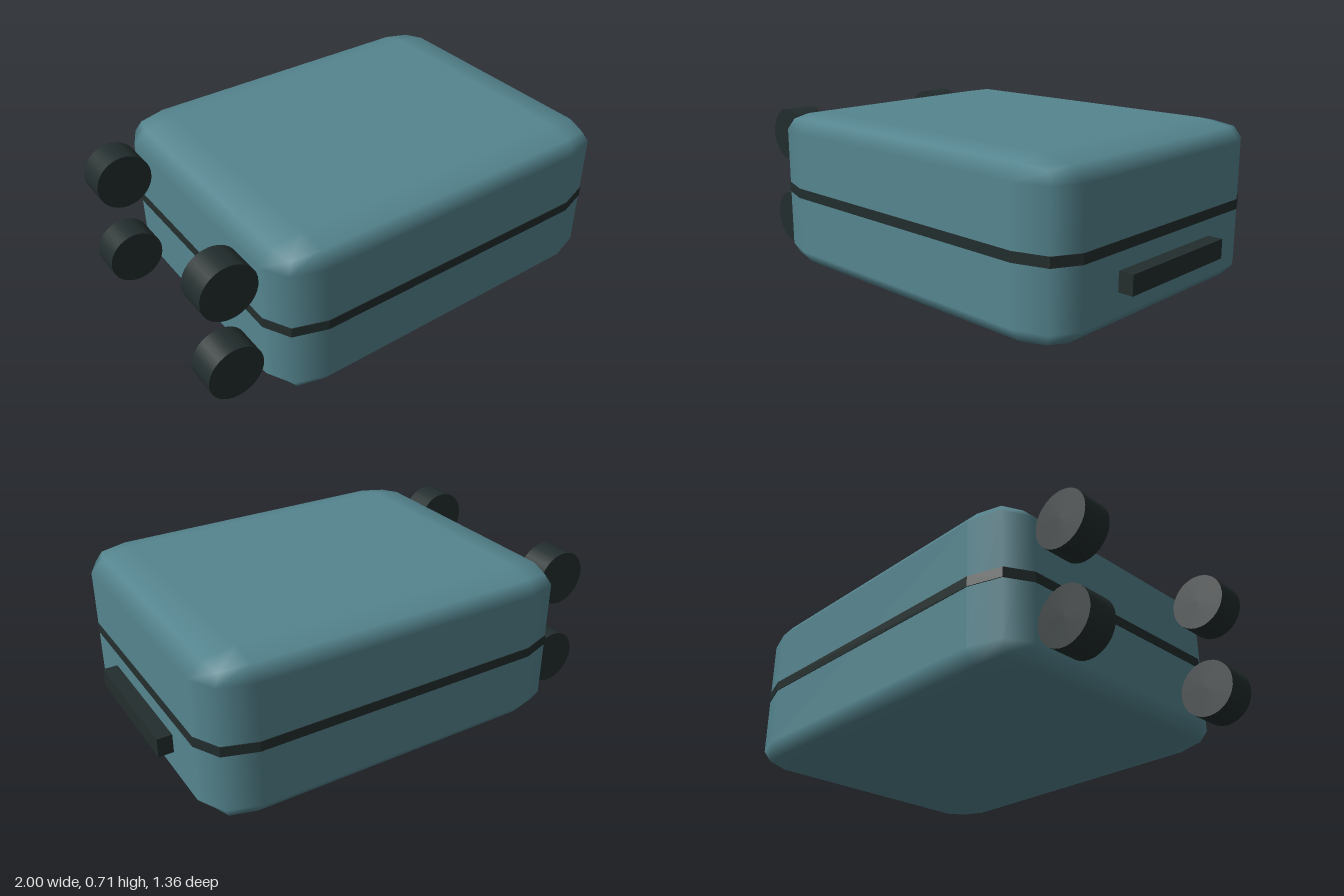
import * as THREE from 'three';
import { RoundedBoxGeometry } from 'three/addons/geometries/RoundedBoxGeometry.js';

const W = 1.69, H = 0.708, D = 1.35; // shell size
const CX = 0.09;                     // shell centre in x
const R = 0.118;                     // corner radius as a fraction of each side

// Plan outline of the shell: a rectangle with two-step rounded corners
function planShape(w, d) {
  const pts = [];
  for (let corner = 0; corner < 4; corner++) {
    const sx = corner === 0 || corner === 3 ? 1 : -1;
    const sz = corner < 2 ? 1 : -1;
    for (let i = 0; i < 3; i++) {
      const a = (corner + i / 2) * Math.PI / 2;
      pts.push(new THREE.Vector2(
        w * (sx * (0.5 - R) + R * Math.cos(a)),
        d * (sz * (0.5 - R) + R * Math.sin(a))));
    }
  }
  return new THREE.Shape(pts);
}

export function createModel() {
  const teal = new THREE.MeshStandardMaterial({ color: 0x55858f });
  teal.name = 'teal shell';
  const dark = new THREE.MeshStandardMaterial({ color: 0x232d2d });
  dark.name = 'dark trim';

  const group = new THREE.Group();
  group.name = 'suitcase';
  const add = (name, geometry, material, x, y, z) => {
    const mesh = new THREE.Mesh(geometry, material);
    mesh.name = name;
    mesh.position.set(x, y, z);
    group.add(mesh);
    return mesh;
  };

  // Rounded shell, stretched from a unit block
  const shell = new RoundedBoxGeometry(1, 1, 1, 1, R);
  shell.scale(W, H, D);
  add('shell', shell, teal, CX, H / 2, 0);

  // Zip band around the middle
  const band = new THREE.ExtrudeGeometry(planShape(W + 0.006, D + 0.006),
    { depth: 0.043, bevelEnabled: false });
  band.rotateX(-Math.PI / 2);
  add('zipBand', band, dark, CX, 0.335, 0);

  // Carry handle on the end
  add('handle', new THREE.BoxGeometry(0.08, 0.084, 0.614), dark, 0.96, 0.219, 0);

  // Four wheels on the opposite end
  const wheel = new THREE.CylinderGeometry(0.123, 0.123, 0.138, 32);
  wheel.rotateX(Math.PI / 2);
  for (const y of [0.15, 0.558]) {
    for (const z of [-0.44, 0.438]) add('wheel', wheel, dark, -0.877, y, z);
  }
  return group;
}
